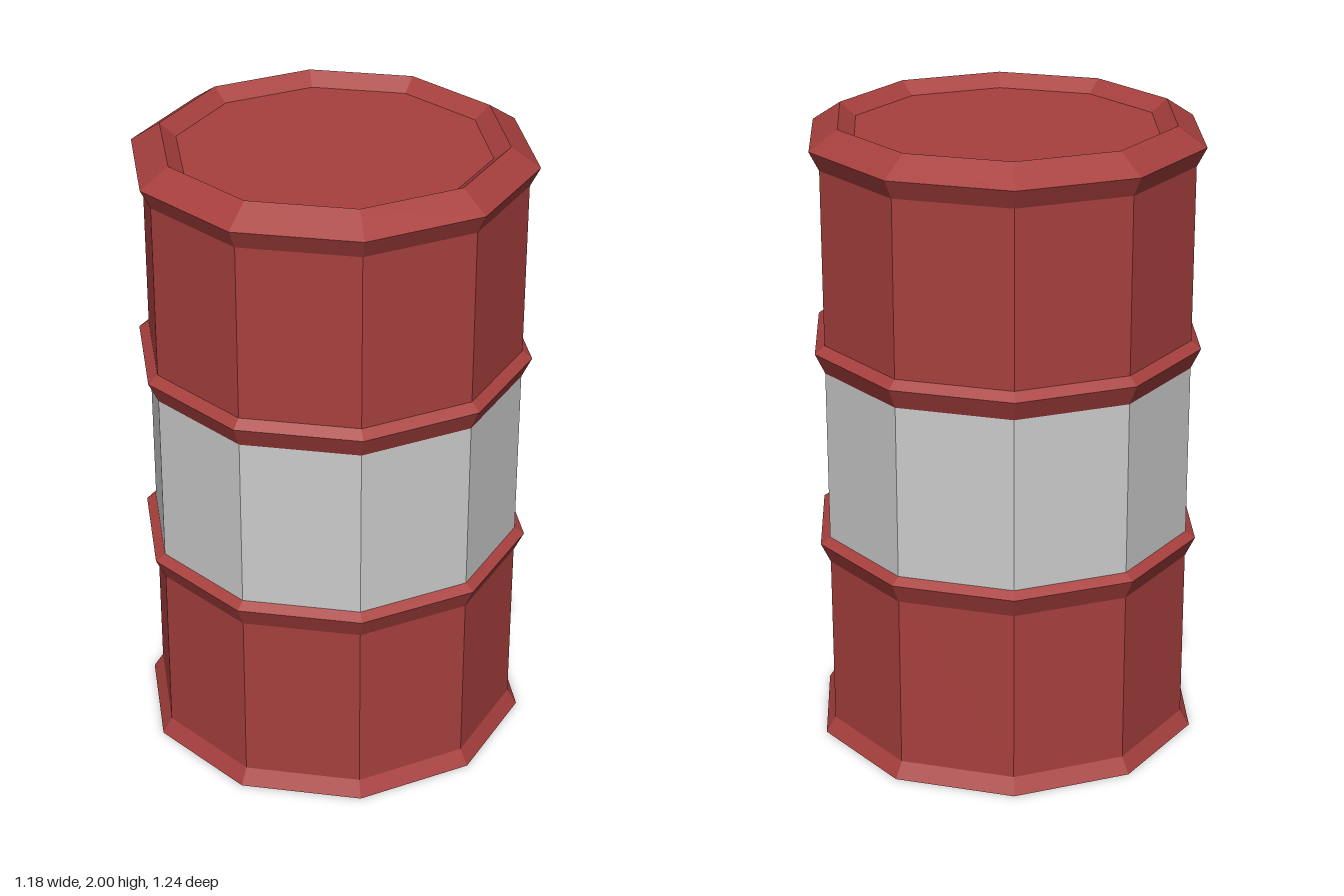
import * as THREE from 'three';

const SIDES = 10;
const BODY = 0.589; // corner radius of the wall
const RIM = 0.62;   // corner radius of the flared rims and hoops

const red = new THREE.MeshStandardMaterial({ color: 0xa7403e, flatShading: true });
const grey = new THREE.MeshStandardMaterial({ color: 0xcccccc, flatShading: true });

// Ten-sided turned part from a profile of [radius, height], listed bottom to top
function turned(name, profile, material) {
  const points = profile.map(([r, y]) => new THREE.Vector2(r, y));
  const mesh = new THREE.Mesh(new THREE.LatheGeometry(points, SIDES), material);
  mesh.name = name;
  return mesh;
}

const wall = (name, y0, y1, material) => turned(name, [[BODY, y0], [BODY, y1]], material);
const hoop = (name, y0, yMid, y1) => turned(name, [[BODY, y0], [RIM, yMid], [BODY, y1]], red);

export function createModel() {
  const barrel = new THREE.Group();
  barrel.name = 'barrel';
  barrel.add(
    // Closed, flared foot
    turned('base', [[0, 0], [RIM, 0], [BODY, 0.05]], red),
    // Walls and hoops
    wall('lowerWall', 0.05, 0.605, red),
    hoop('lowerHoop', 0.605, 0.67, 0.69),
    wall('middleBand', 0.69, 1.24, grey),
    hoop('upperHoop', 1.24, 1.305, 1.33),
    wall('upperWall', 1.33, 1.88, red),
    // Flared rim sloping in to a sunken lid
    turned('topRim', [[BODY, 1.88], [RIM, 1.94], [0.53, 2], [0.48, 1.96]], red),
    turned('lid', [[0.48, 1.96], [0, 1.96]], red),
  );
  return barrel;
}
